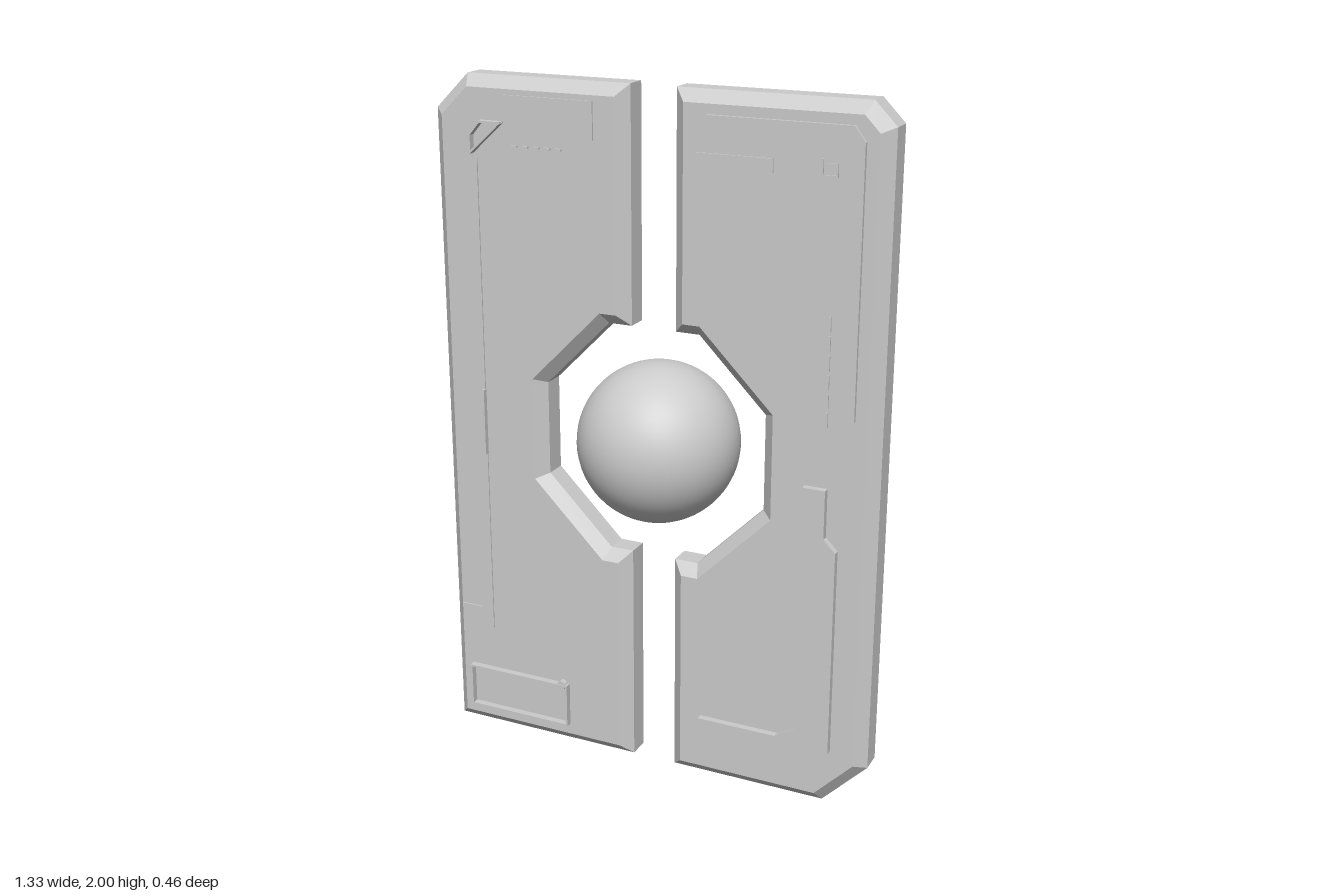
import * as THREE from 'three';

const FACE = 0.065; // z of the panels' front face
const material = new THREE.MeshStandardMaterial({ color: 0xcccccc });

function shapeOf(points) {
  return new THREE.Shape(points.map(([x, y]) => new THREE.Vector2(x, y)));
}

function add(parent, name, geometry) {
  const mesh = new THREE.Mesh(geometry, material);
  mesh.name = name;
  parent.add(mesh);
  return mesh;
}

// Thick slab with a chamfer all round, front and back
function addSlab(parent, name, points) {
  const bevel = 0.033;
  const geometry = new THREE.ExtrudeGeometry(shapeOf(points), {
    depth: 2 * (FACE - bevel), bevelEnabled: true, bevelSegments: 1,
    bevelThickness: bevel, bevelSize: bevel, bevelOffset: -bevel,
  });
  geometry.translate(0, 0, bevel - FACE);
  add(parent, name, geometry);
}

// Flat raised plate on the front face
function addPlate(parent, name, points, height) {
  const geometry = new THREE.ExtrudeGeometry(shapeOf(points), { depth: height + 0.01, bevelEnabled: false });
  add(parent, name, geometry.translate(0, 0, FACE - 0.01));
}

// Thin raised ridge along a path of points
function addRidge(parent, name, points, top = 0.075, width = 0.006) {
  const group = new THREE.Group();
  group.name = name;
  for (let i = 0; i + 1 < points.length; i++) {
    const [x0, y0] = points[i], [x1, y1] = points[i + 1];
    const depth = top - FACE + 0.005;
    const bar = add(group, name + 'Bar', new THREE.BoxGeometry(Math.hypot(x1 - x0, y1 - y0) + width, width, depth));
    bar.position.set((x0 + x1) / 2, (y0 + y1) / 2, top - depth / 2);
    bar.rotation.z = Math.atan2(y1 - y0, x1 - x0);
  }
  parent.add(group);
}

export function createModel() {
  const model = new THREE.Group();
  model.name = 'splitPanelWithOrb';

  // Half octagon opening, from top to bottom, on the +x side
  const opening = [[0.067, 1.34], [0.137, 1.34], [0.335, 1.14], [0.335, 0.863], [0.137, 0.665], [0.067, 0.665]];

  // Left panel (+x): chamfered at both outer corners
  const left = new THREE.Group();
  left.name = 'leftPanel';
  addSlab(left, 'leftSlab', [[0.067, 0], [0.535, 0], [0.667, 0.135], [0.667, 1.937], [0.605, 2], [0.067, 2], ...opening]);
  addPlate(left, 'upperPlate', [
    [0.135, 1.43], [0.4, 1.205], [0.4, 1.105], [0.535, 1.105], [0.6, 1.17],
    [0.6, 1.9], [0.57, 1.94], [0.17, 1.94], [0.135, 1.9],
  ], 0.011);
  addPlate(left, 'lowerPlate', [
    [0.165, 0.135], [0.24, 0.135], [0.265, 0.105], [0.43, 0.105], [0.565, 0.18], [0.565, 0.795],
    [0.53, 0.83], [0.53, 0.97], [0.465, 0.97], [0.465, 0.235], [0.405, 0.2], [0.165, 0.2],
  ], 0.02);
  addRidge(left, 'cornerLine', [[0.14, 1.84], [0.355, 1.84], [0.355, 1.81]], 0.081);
  addRidge(left, 'squareMark', [[0.49, 1.85], [0.49, 1.81], [0.53, 1.81], [0.53, 1.84], [0.51, 1.84]], 0.081);
  for (let i = 0; i < 6; i++) {
    const y = 1.15 + i * 0.052;
    addRidge(left, 'dash', [[0.525, y], [0.525, y + 0.035]], 0.081);
  }

  // Right panel (-x): one large chamfer at the outer top corner
  const right = new THREE.Group();
  right.name = 'rightPanel';
  const mirrored = opening.map(([x, y]) => [-x, y]).reverse();
  addSlab(right, 'rightSlab', [[-0.667, 0], [-0.067, 0], ...mirrored, [-0.067, 2], [-0.565, 2], [-0.667, 1.9]]);
  addRidge(right, 'labelFrame', [[-0.6, 0.07], [-0.27, 0.07], [-0.27, 0.2], [-0.6, 0.2], [-0.6, 0.07]], 0.085);
  const stud = add(right, 'labelStud', new THREE.CylinderGeometry(0.014, 0.014, 0.02, 16));
  stud.rotation.x = Math.PI / 2;
  stud.position.set(-0.288, 0.2, 0.072);
  addRidge(right, 'cornerMark', [[-0.537, 1.79], [-0.442, 1.877], [-0.505, 1.877], [-0.537, 1.84], [-0.537, 1.79]], 0.085);
  addRidge(right, 'longLine', [[-0.525, 0.34], [-0.525, 1.77]], 0.069, 0.003);
  addRidge(right, 'lineGrip', [[-0.525, 0.91], [-0.525, 1.1]], 0.08);
  addRidge(right, 'sideTick', [[-0.63, 0.4], [-0.56, 0.4]], 0.069, 0.003);
  addRidge(right, 'topLine', [[-0.44, 1.95], [-0.165, 1.95], [-0.165, 1.85]], 0.07, 0.004);
  for (let i = 0; i < 5; i++) {
    const x = -0.41 + i * 0.034;
    addRidge(right, 'dot', [[x, 1.815], [x + 0.012, 1.815]], 0.072);
  }

  // Floating orb in the opening
  const orb = add(model, 'orb', new THREE.SphereGeometry(0.232, 48, 32));
  orb.position.y = 1.003;

  model.add(left, right);
  return model;
}
